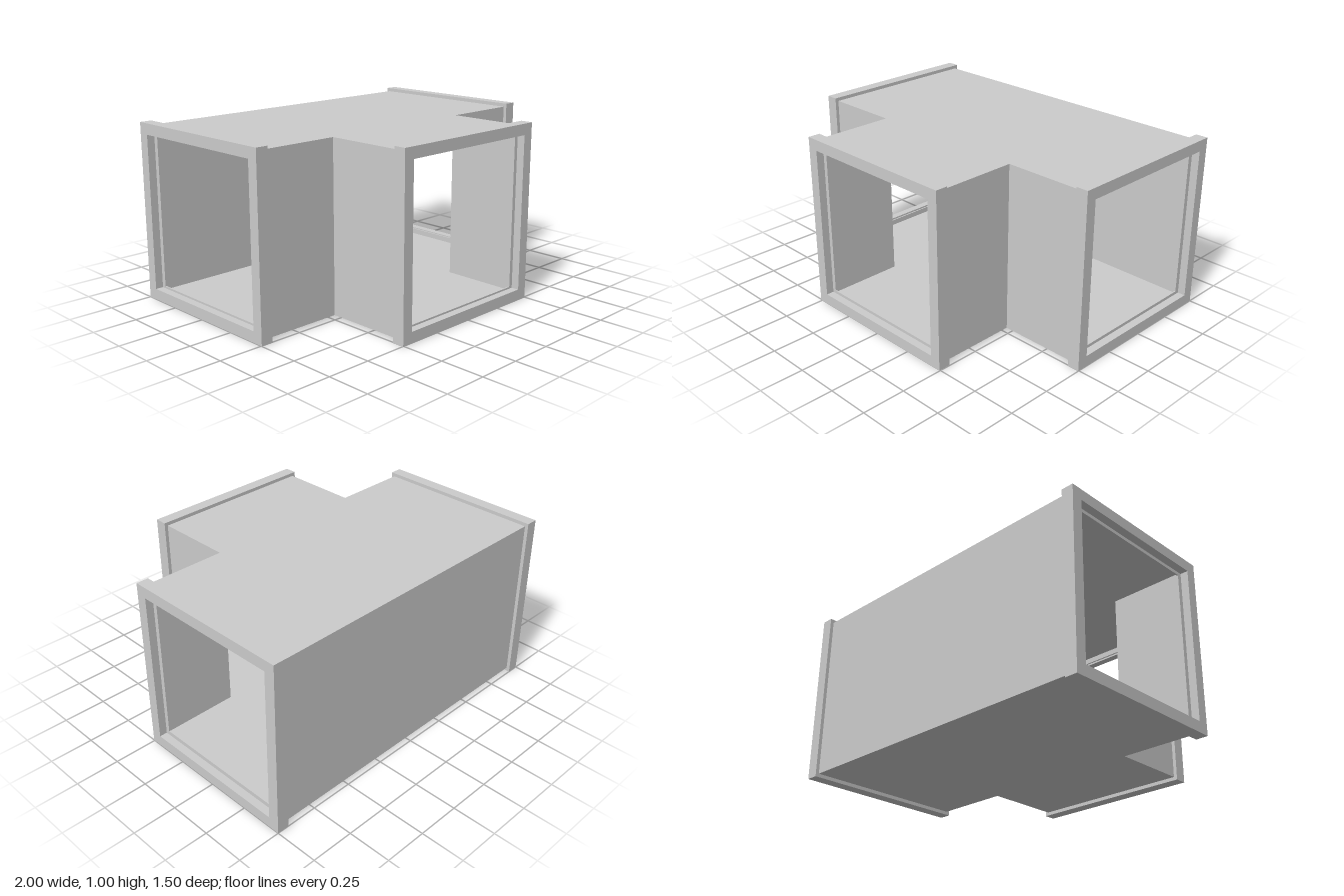
import * as THREE from 'three';

const material = new THREE.MeshStandardMaterial({ color: 0xcccccc, flatShading: true });

const X0 = -0.005;   // centre line of the front branch
const Z0 = -0.2475;  // centre line of the main run
const YC = 0.505;    // mid height
const R = 0.5025;    // half size of a flange
const B = 0.4825;    // half size of the duct
const T = 0.01;      // sheet thickness
const END = 0.93;    // duct length to each side
const FRONT = 0.685; // duct length to the front

function square(half, PathType) {
  const p = new PathType();
  p.moveTo(-half, -half);
  p.lineTo(half, -half);
  p.lineTo(half, half);
  p.lineTo(-half, half);
  p.closePath();
  return p;
}

// Square ring between two depths along its own z axis
function ring(name, outer, inner, z0, z1) {
  const shape = square(outer, THREE.Shape);
  shape.holes.push(square(inner, THREE.Path));
  const geo = new THREE.ExtrudeGeometry(shape, { depth: z1 - z0, bevelEnabled: false });
  geo.translate(0, 0, z0);
  const mesh = new THREE.Mesh(geo, material);
  mesh.name = name;
  return mesh;
}

// End flange: thick front lip, inner groove and thin rear lip
function flange(name) {
  const g = new THREE.Group();
  g.name = name;
  const hole = R - 0.0625;
  g.add(ring('frontLip', R, hole, 0.025, 0.07));
  g.add(ring('grooveWeb', R, B - T, 0.008, 0.025));
  g.add(ring('rearLip', R, hole, 0, 0.008));
  return g;
}

// T-shaped sheet for floor and ceiling
function sheet(name, y) {
  const zb = Z0 - B, zf = Z0 + B;
  const pts = [
    [-END, zb], [END, zb], [END, zf], [X0 + B, zf],
    [X0 + B, FRONT], [X0 - B, FRONT], [X0 - B, zf], [-END, zf],
  ].map(([x, z]) => new THREE.Vector2(x, -z));
  const geo = new THREE.ExtrudeGeometry(new THREE.Shape(pts), { depth: T, bevelEnabled: false });
  geo.rotateX(-Math.PI / 2);
  const mesh = new THREE.Mesh(geo, material);
  mesh.name = name;
  mesh.position.y = y;
  return mesh;
}

// Upright sheet spanning the given x and z ranges
function wall(name, x0, x1, z0, z1) {
  const mesh = new THREE.Mesh(new THREE.BoxGeometry(x1 - x0, 2 * (B - T), z1 - z0), material);
  mesh.name = name;
  mesh.position.set((x0 + x1) / 2, YC, (z0 + z1) / 2);
  return mesh;
}

export function createModel() {
  const model = new THREE.Group();
  model.name = 'ductTee';

  // Duct body
  model.add(sheet('floor', YC - B), sheet('ceiling', YC + B - T));
  model.add(wall('backWall', -END, END, Z0 - B, Z0 - B + T));
  for (const s of [-1, 1]) {
    const side = s > 0 ? 'left' : 'right';
    const outer = X0 + s * B, inner = X0 + s * (B - T);
    const zf = Z0 + B;
    model.add(wall(side + 'FrontWall', Math.min(inner, s * END), Math.max(inner, s * END), zf - T, zf));
    model.add(wall(side + 'BranchWall', Math.min(inner, outer), Math.max(inner, outer), zf, FRONT));

    // Side flanges
    const f = flange(side + 'Flange');
    f.rotation.y = s * Math.PI / 2;
    f.position.set(s * END, YC, Z0);
    model.add(f);
  }

  // Front flange
  const front = flange('frontFlange');
  front.position.set(X0, YC, FRONT);
  model.add(front);
  return model;
}
